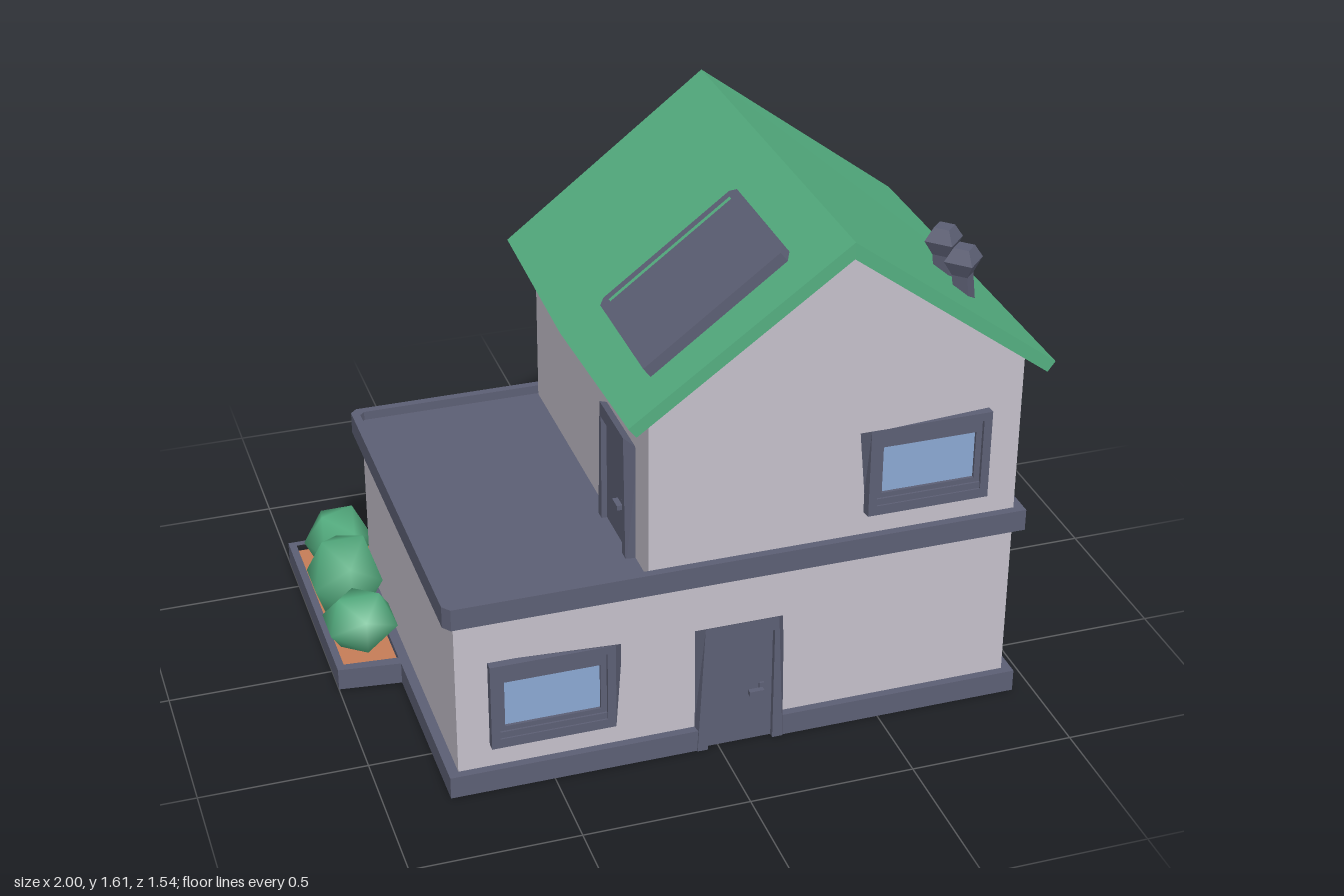
import * as THREE from 'three';
import { mergeVertices } from 'three/addons/utils/BufferGeometryUtils.js';

const material = (name, color) => {
  const m = new THREE.MeshStandardMaterial({ color });
  m.name = name;
  return m;
};

export function createModel() {
  const wall = material('pale wall', 0xc4c0ca);
  const trim = material('slate trim', 0x5c5f74);
  const green = material('green', 0x54ae80);
  const glass = material('blue glass', 0x8ba8d2);
  const soil = material('soil', 0xc67d57);
  const house = new THREE.Group();
  house.name = 'house';

  const mesh = (name, geometry, mat, parent = house) => {
    const m = new THREE.Mesh(geometry, mat);
    m.name = name;
    parent.add(m);
    return m;
  };
  const box = (name, mat, x0, x1, y0, y1, z0, z1, parent) => {
    const g = new THREE.BoxGeometry(x1 - x0, y1 - y0, z1 - z0);
    g.translate((x0 + x1) / 2, (y0 + y1) / 2, (z0 + z1) / 2);
    return mesh(name, g, mat, parent);
  };
  const polygon = (points, holes = []) => {
    const s = new THREE.Shape(points.map(p => new THREE.Vector2(...p)));
    holes.forEach(h => s.holes.push(new THREE.Path(h.map(p => new THREE.Vector2(...p)))));
    return s;
  };
  const extrude = (points, depth, holes, steps = 1) =>
    new THREE.ExtrudeGeometry(polygon(points, holes), { depth, steps, bevelEnabled: false });
  // Horizontal slab from a plan outline of [x, z] points
  const slab = (points, y, height, holes = []) => {
    const flip = list => list.map(([x, z]) => [x, -z]);
    return extrude(flip(points), height, holes.map(flip)).rotateX(-Math.PI / 2).translate(0, y, 0);
  };
  const rect = (x0, x1, y0, y1) => [[x0, y0], [x1, y0], [x1, y1], [x0, y1]];
  // Moves every vertex by a rule, then restores flat normals
  const reshape = (g, rule) => {
    const p = g.attributes.position, v = new THREE.Vector3();
    for (let i = 0; i < p.count; i++) {
      rule(v.fromBufferAttribute(p, i));
      p.setXYZ(i, v.x, v.y, v.z);
    }
    g.computeVertexNormals();
    return g;
  };

  // Walls
  box('lowerWalls', wall, -0.78, 0.91, 0.01, 0.6, -0.43, 0.7);
  mesh('upperWalls', extrude([[-0.21, 0.58], [0.91, 0.58], [0.91, 1.14], [0.35, 1.565], [-0.21, 1.14]], 1.13)
    .translate(0, 0, -0.43), wall);
  mesh('garageWalls', extrude([[0.42, 0.01], [0.715, 0.01], [0.715, 0.58], [0.42, 0.67]], 0.57)
    .rotateY(Math.PI / 2).translate(0.34, 0, 0), wall);

  // Plinth, notched where the doors stand
  mesh('plinth', slab([
    [-0.81, 0.725], [-0.035, 0.725], [-0.035, 0.69], [0.165, 0.69], [0.165, 0.725], [0.94, 0.725],
    [0.94, -0.74], [0.83, -0.74], [0.83, -0.7], [0.45, -0.7], [0.45, -0.74], [0.315, -0.74],
    [0.315, -0.455], [0.165, -0.455], [0.165, -0.42], [-0.035, -0.42], [-0.035, -0.455], [-0.81, -0.455]
  ], 0, 0.07), trim);

  // Band between the storeys, open over the sunken terrace
  const band = [[-0.81, 0.7], [-0.79, 0.725], [0.94, 0.725], [0.94, -0.46], [-0.79, -0.46], [-0.81, -0.44]];
  const terrace = [[-0.785, 0.685], [-0.77, 0.7], [-0.2, 0.7], [-0.2, -0.435], [-0.77, -0.435], [-0.785, -0.42]];
  mesh('storeyBand', slab(band, 0.57, 0.068, [terrace]), trim);
  box('terraceFloor', trim, -0.79, -0.19, 0.58, 0.61, -0.44, 0.705);

  // Main roof: chevron whose ends lean out at the ridge and whose eaves bow at the middle
  const chevron = [[0.35, 1.61], [0.983, 1.135], [0.96, 1.105], [0.35, 1.56], [-0.26, 1.105], [-0.283, 1.135]];
  mesh('mainRoof', reshape(extrude(chevron, 2, [], 2), v => {
    const out = Math.abs(v.x - 0.35) / 0.63, t = v.z - 1;
    v.z = 0.13 + t * (0.637 - 0.02 * out);
    if (t === 0 && out > 0.5) {
      v.x += 0.012 * Math.sign(v.x - 0.35);
      v.y -= 0.013;
    }
  }), green);

  // Sloping garage roof with one clipped corner
  mesh('garageRoof', reshape(slab(
    [[0.315, -0.425], [0.325, -0.75], [0.9, -0.77], [0.955, -0.715], [0.955, -0.425]], 0.652, 0.038
  ), v => { v.y += (v.z + 0.425) * 0.3; }), green);

  // Places a wall fitting: y turn faces it outwards
  const fitting = (name, x, y, z, turn) => {
    const g = new THREE.Group();
    g.name = name;
    g.position.set(x, y, z);
    g.rotation.y = turn;
    house.add(g);
    return g;
  };

  // Window with a casing that flares towards the wall on one side
  const addWindow = (name, x, y, z, turn, side = 1) => {
    const g = fitting(name, x, y, z, turn);
    const casing = extrude(rect(-0.185, 0.185, 0, 0.28), 0.035, [rect(-0.16, 0.16, 0.03, 0.255)]).translate(0, 0, -0.008);
    mesh('casing', reshape(casing, v => {
      if (v.z < 0 && v.x * side > 0.18) {
        v.x += side * (v.y > 0.1 ? 0.03 : 0.005);
        if (v.y > 0.1) v.y -= 0.022;
      }
    }), trim, g);
    mesh('sash', extrude(rect(-0.162, 0.162, 0.028, 0.257), 0.016, [rect(-0.142, 0.142, 0.065, 0.215)]), trim, g);
    box('sill', trim, -0.16, 0.16, 0.03, 0.05, 0, 0.022, g);
    box('pane', glass, -0.145, 0.145, 0.06, 0.22, 0, 0.007, g);
  };
  addWindow('frontLowerWindow', -0.5, 0.145, 0.7, 0);
  addWindow('frontUpperWindow', 0.625, 0.71, 0.7, 0, -1);
  addWindow('backLowerWindow', -0.495, 0.145, -0.43, Math.PI);
  addWindow('backUpperWindowA', 0.625, 0.71, -0.43, Math.PI);
  addWindow('backUpperWindowB', 0.08, 0.71, -0.43, Math.PI);

  // Door with splayed casing; pane is [x0, x1, y0, y1]
  const addDoor = (name, x, y, z, turn, half, pane, handle = true) => {
    const g = fitting(name, x, y, z, turn);
    const w = half + 0.012, f = half + 0.032;
    const casing = extrude([
      [-f, 0], [-w, 0.425], [w, 0.425], [f, 0], [half, 0], [half, 0.38], [-half, 0.38], [-half, 0]
    ], 0.037).translate(0, 0, -0.008);
    mesh('casing', reshape(casing, v => {
      if (v.z < 0 && v.y > 0.4) {
        v.x += Math.sign(v.x) * 0.028;
        v.y -= 0.025;
      } else if (v.z < 0 && Math.abs(v.x) > half + 0.02) v.x += Math.sign(v.x) * 0.006;
    }), trim, g);
    box('leaf', trim, -half, half, 0, 0.385, -0.02, 0.012, g);
    if (pane) box('pane', glass, pane[0], pane[1], pane[2], pane[3], 0.01, 0.016, g);
    if (handle) {
      box('handlePlate', trim, 0.06, 0.075, 0.155, 0.195, 0.01, 0.018, g);
      box('handleLever', trim, 0.025, 0.07, 0.165, 0.18, 0.018, 0.035, g);
    }
  };
  addDoor('frontDoor', 0.065, 0, 0.7, 0, 0.1);
  addDoor('backDoor', 0.065, 0, -0.43, Math.PI, 0.1, [-0.03, 0.02, 0.08, 0.33]);
  addDoor('terraceDoor', -0.21, 0.57, 0.445, -Math.PI / 2, 0.1);
  addDoor('garageDoor', 0.64, 0, -0.715, Math.PI, 0.19, [-0.12, 0.12, 0.27, 0.32], false);

  // Roof panel lying on the left slope
  const panel = fitting('roofPanel', 0.025, 1.366, 0.41, 0);
  panel.rotation.z = Math.atan(0.75);
  mesh('panelFrame', slab(
    [[-0.255, -0.19], [-0.235, -0.21], [0.235, -0.21], [0.255, -0.19], [0.255, 0.18], [0.235, 0.21], [-0.255, 0.21]],
    -0.01, 0.045, [rect(-0.225, 0.225, -0.185, -0.015), rect(-0.225, 0.225, 0.015, 0.175)]), trim, panel);
  box('panelPlate', trim, -0.24, 0.24, -0.01, 0.023, -0.19, 0.19, panel);

  // Four-sided roof vents
  const ventProfile = [[0.033, 1.24], [0.033, 1.34], [0.06, 1.385], [0.033, 1.425], [0, 1.425]];
  for (const z of [0.53, 0.39]) {
    const vent = new THREE.LatheGeometry(ventProfile.map(p => new THREE.Vector2(...p)), 4);
    mesh('roofVent', reshape(vent.toNonIndexed(), v => { if (v.y < 1.3) v.x += 0.012; }), trim).position.set(0.78, 0, z);
  }

  // L-shaped planter against the back corner
  const planter = [[-1, -0.655], [-0.24, -0.655], [-0.22, -0.44], [-0.79, -0.44], [-0.79, 0.125], [-1, 0.1]];
  const bed = [[-0.977, -0.632], [-0.258, -0.632], [-0.243, -0.45], [-0.8, -0.45], [-0.8, 0.09], [-0.977, 0.075]];
  mesh('planterEdge', slab(planter, 0, 0.07, [bed]), trim);
  mesh('planterSoil', slab(bed, 0, 0.05), soil);

  // Rounded bushes: x, z, height centre, width radius, height radius, turn
  const ico = new THREE.IcosahedronGeometry(1, 0);
  ico.deleteAttribute('normal');
  ico.deleteAttribute('uv');
  const bush = mergeVertices(ico);
  bush.computeVertexNormals();
  for (const [x, z, y, r, h, turn] of [
    [-0.895, -0.26, 0.17, 0.125, 0.155, 0], [-0.895, -0.05, 0.135, 0.122, 0.1, 0],
    [-0.86, -0.515, 0.14, 0.11, 0.125, 0.4], [-0.61, -0.555, 0.12, 0.1, 0.1, 0.1], [-0.45, -0.56, 0.145, 0.1, 0.13, 0.2]
  ]) {
    const b = mesh('bush', bush, green);
    b.position.set(x, y, z);
    b.scale.set(r, h, r);
    b.rotation.y = turn;
  }
  return house;
}
